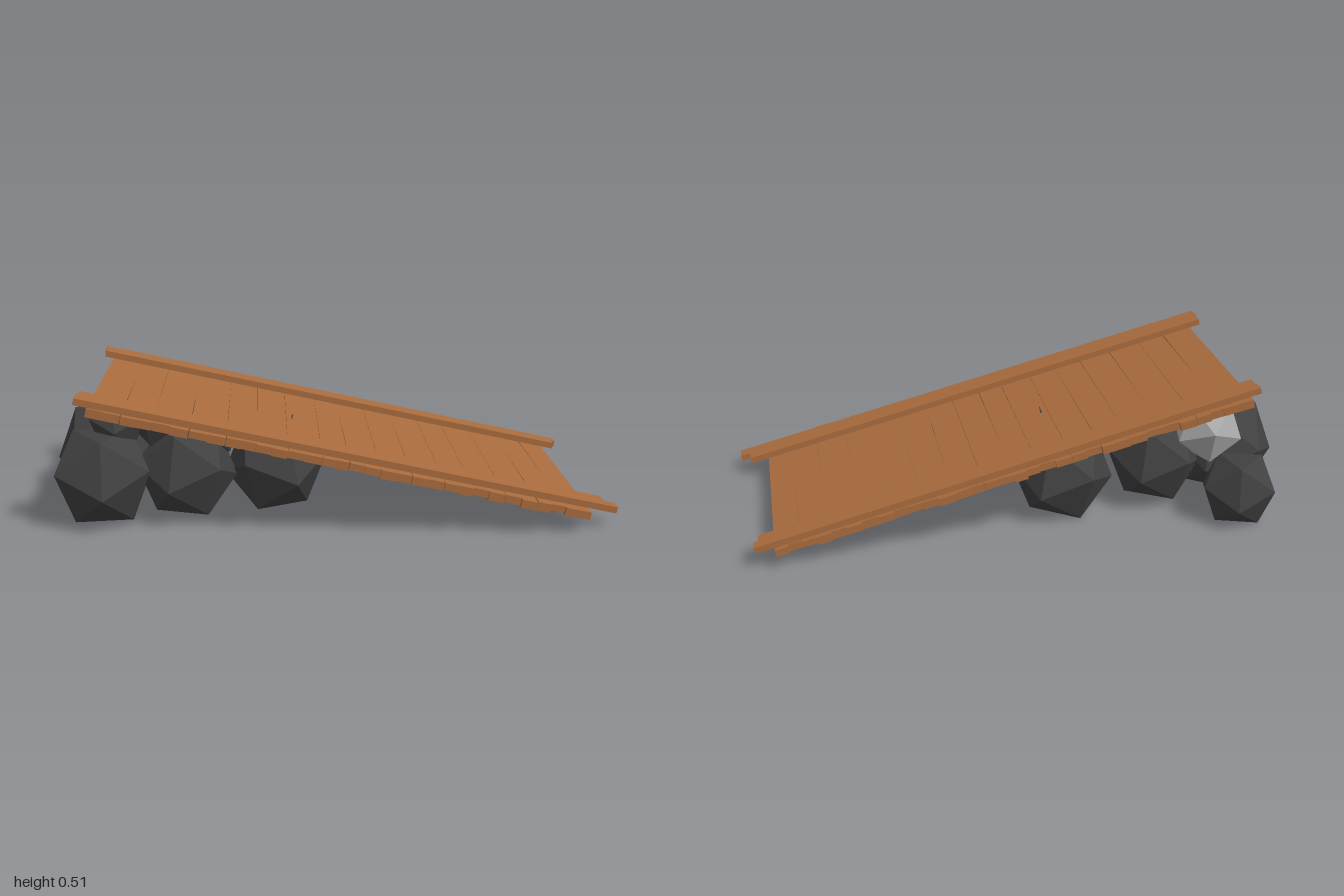
import * as THREE from 'three';

const wood = new THREE.MeshStandardMaterial({ color: 0xa96b3d, flatShading: true });
const darkStone = new THREE.MeshStandardMaterial({ color: 0x404040, flatShading: true });
const paleStone = new THREE.MeshStandardMaterial({ color: 0xaaaaaa, flatShading: true });

let seed = 7;
// Seeded jitter in the range -a..a
function jitter(a) {
  seed = (seed * 16807) % 2147483647;
  return (seed / 2147483647 * 2 - 1) * a;
}

// Icosahedron resting on one of its faces
function rock(name, x, y, z, radius, yaw, material = darkStone) {
  const geo = new THREE.IcosahedronGeometry(radius, 0);
  const tri = [0, 1, 2].map(i => new THREE.Vector3().fromBufferAttribute(geo.attributes.position, i));
  const normal = tri[0].clone().add(tri[1]).add(tri[2]).normalize();
  geo.applyQuaternion(new THREE.Quaternion().setFromUnitVectors(normal, new THREE.Vector3(0, -1, 0)));
  geo.rotateY(yaw);
  const mesh = new THREE.Mesh(geo, material);
  mesh.name = name;
  mesh.position.set(x, y, z);
  return mesh;
}

// Long board lying on the deck, from (x0, z0) to (x1, z1)
function rail(name, x0, z0, x1, z1, width) {
  const thick = 0.023;
  const mesh = new THREE.Mesh(
    new THREE.BoxGeometry(Math.hypot(x1 - x0, z1 - z0), thick, width), wood);
  mesh.name = name;
  mesh.position.set((x0 + x1) / 2, thick / 2, (z0 + z1) / 2);
  mesh.rotation.y = -Math.atan2(z1 - z0, x1 - x0);
  return mesh;
}

export function createModel() {
  const model = new THREE.Group();
  model.name = 'rampOnRocks';

  // Sloping deck; local y = 0 is the top of the planks
  const ramp = new THREE.Group();
  ramp.name = 'ramp';
  ramp.position.y = 0.285;
  ramp.rotation.z = -0.231;
  model.add(ramp);

  // Cross planks, each of two strips with uneven ends
  const seams = [-0.8, -0.69, -0.59, -0.47, -0.35, -0.25, -0.145, -0.03, 0.06,
    0.165, 0.27, 0.38, 0.48, 0.59, 0.7, 0.8, 0.89].map(x => x / 0.973);
  for (let i = 0; i < seams.length - 1; i++) {
    const t = i / (seams.length - 2);
    const plank = new THREE.Group();
    plank.name = 'plank';
    plank.position.set((seams[i] + seams[i + 1]) / 2, 0, 0.06 - 0.03 * t);
    plank.rotation.y = 0.025 * t + jitter(0.004);
    const width = seams[i + 1] - seams[i] - 0.001;
    for (const side of [-1, 1]) {
      const thick = 0.027 + jitter(0.004);
      const strip = new THREE.Mesh(
        new THREE.BoxGeometry(width / 2, thick, 0.815 + 0.015 * t + jitter(0.012)), wood);
      strip.position.set(side * width / 4, -thick / 2, jitter(0.007));
      plank.add(strip);
    }
    ramp.add(plank);
  }

  // Side rails, a pair along each edge
  ramp.add(
    rail('frontOuterRail', -0.87, 0.431, 1.025, 0.369, 0.048),
    rail('frontInnerRail', -0.865, 0.382, 0.985, 0.327, 0.05),
    rail('backInnerRail', -0.855, -0.263, 0.955, -0.32, 0.043),
    rail('backOuterRail', -0.86, -0.302, 0.97, -0.356, 0.04));

  // Large rocks on the ground
  model.add(
    rock('backCornerRock', -0.78, 0.116, -0.33, 0.146, 1.13),
    rock('endRock', -0.805, 0.17, -0.06, 0.2, 0.83),
    rock('frontCornerRock', -0.79, 0.17, 0.245, 0.19, 0.5),
    rock('middleBackRock', -0.52, 0.175, -0.13, 0.18, 0.9),
    rock('middleFrontRock', -0.5, 0.175, 0.2, 0.185, 0.1),
    rock('innerBackRock', -0.165, 0.153, -0.14, 0.192, 0.83),
    rock('innerFrontRock', -0.185, 0.165, 0.11, 0.188, 0.83));

  // Smaller rocks wedged under the deck
  model.add(
    rock('paleEndRock', -0.69, 0.31, -0.2, 0.133, 0.3, paleStone),
    rock('paleInnerRock', -0.33, 0.285, -0.1, 0.08, 0.7, paleStone),
    rock('upperEndRock', -0.74, 0.35, 0.18, 0.108, 0.4),
    rock('upperMiddleRock', -0.6, 0.33, 0.17, 0.085, 1.0),
    rock('upperInnerRock', -0.4, 0.295, 0.15, 0.09, 0.6));

  return model;
}
